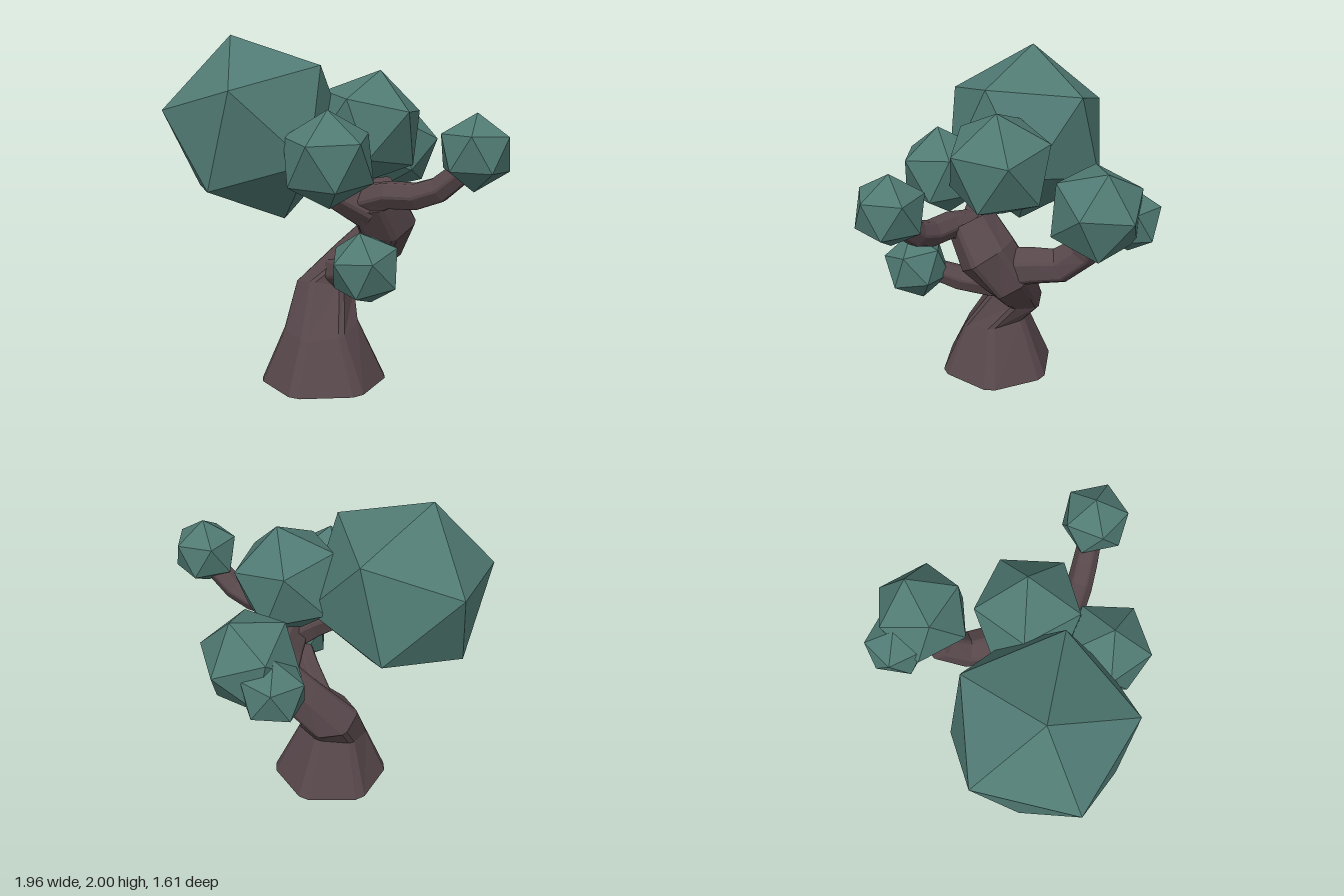
import * as THREE from 'three';

const V = (a) => new THREE.Vector3(a[0], a[1], a[2]);

export function createModel() {
  const tree = new THREE.Group();
  tree.name = 'tree';
  // The trunk is open underneath, so bark shows from both sides
  const bark = new THREE.MeshStandardMaterial({ color: 0x57474b, side: THREE.DoubleSide });
  bark.name = 'bark';
  const leaf = new THREE.MeshStandardMaterial({ color: 0x507a73 });
  leaf.name = 'foliage';

  // Six-sided limb with narrow bevelled corners, swept along [x, y, z, radius] stations.
  // An optional fifth value fixes the forward lean of an upright section.
  function limb(name, stations) {
    const pts = stations.map(V);
    const last = pts.length - 1;
    const normal = new THREE.Vector3(0, 0, 1);
    const rings = pts.map((p, i) => {
      const [, , , radius, lean] = stations[i];
      const t = new THREE.Vector3();
      if (i < last) t.add(pts[i + 1].clone().sub(p).normalize());
      if (i > 0) t.add(p.clone().sub(pts[i - 1]).normalize());
      if (lean !== undefined) t.set(0, 1, lean);
      t.normalize();
      if (i === 0 && Math.abs(t.z) > 0.8) normal.set(0, 1, 0);
      normal.addScaledVector(t, -normal.dot(t)).normalize();
      const side = t.clone().cross(normal);
      const ring = [];
      for (let k = 0; k < 6; k++) {
        for (const bevel of [-0.1, 0.1]) {
          const a = k * Math.PI / 3 + bevel;
          ring.push(p.clone()
            .addScaledVector(normal, Math.cos(a) * radius)
            .addScaledVector(side, Math.sin(a) * radius));
        }
      }
      return ring;
    });
    const tris = [];
    const n = 12;
    for (let k = 0; k < n; k++) {
      const j = (k + 1) % n;
      for (let i = 0; i < last; i++) {
        const a = rings[i], b = rings[i + 1];
        tris.push(a[k], a[j], b[j], a[k], b[j], b[k]);
      }
      tris.push(pts[last], rings[last][k], rings[last][j]);
    }
    const geo = new THREE.BufferGeometry().setFromPoints(tris);
    geo.computeVertexNormals();
    const mesh = new THREE.Mesh(geo, bark);
    mesh.name = name;
    tree.add(mesh);
  }

  // Faceted leaf clump, turned so two neighbouring corners lie at offsets a and b
  function clump(name, centre, a, b) {
    const va = V(a), vb = V(b);
    const radius = (va.length() + vb.length()) / 2;
    va.normalize();
    vb.normalize();
    const x = vb.clone().sub(va).normalize();
    const y = va.clone().add(vb).normalize();
    const z = x.clone().cross(y);
    const mesh = new THREE.Mesh(new THREE.IcosahedronGeometry(radius, 0), leaf);
    mesh.quaternion.setFromRotationMatrix(new THREE.Matrix4().makeBasis(x, y, z));
    mesh.position.copy(V(centre));
    mesh.name = name;
    tree.add(mesh);
  }

  // Trunk, flared at the foot and leaning as it rises
  limb('trunk', [
    [-0.12, 0, 0.275, 0.362, 0],
    [-0.13, 0.33, 0.285, 0.215, 0.2],
    [-0.17, 0.53, 0.15, 0.172, -0.35],
    [-0.03, 0.67, 0.07, 0.145],
    [0.12, 0.81, 0.01, 0.155],
    [0.19, 0.95, 0.09, 0.178],
    [0.17, 1.11, 0.22, 0.15],
  ]);

  // Branches
  limb('leftBranch', [
    [0.14, 1.08, 0.24, 0.1], [0.3, 1.13, 0.28, 0.08], [0.46, 1.135, 0.285, 0.078],
    [0.59, 1.18, 0.28, 0.075], [0.76, 1.32, 0.27, 0.065],
  ]);
  limb('backBranch', [
    [0.12, 0.86, 0.02, 0.13], [0.05, 0.89, -0.13, 0.115], [-0.03, 0.9, -0.27, 0.107],
    [-0.08, 1.01, -0.4, 0.095], [-0.06, 1.2, -0.5, 0.075],
  ]);
  limb('rightBranch', [
    [0.16, 1.03, 0.2, 0.13], [0.02, 1.11, 0.28, 0.105], [-0.12, 1.19, 0.32, 0.095],
    [-0.28, 1.32, 0.34, 0.08],
  ]);
  limb('lowerBranch', [
    [-0.14, 0.61, 0.11, 0.095], [-0.01, 0.64, 0.25, 0.088], [0.12, 0.685, 0.38, 0.078],
    [0.27, 0.78, 0.54, 0.06],
  ]);

  // Leaf clumps
  clump('largeClump', [-0.51, 1.47, 0.33], [-0.14, 0.53, 0.05], [0.12, 0.24, 0.48]);
  clump('topClump', [0.08, 1.475, 0.085], [0.055, 0.33, -0.035], [0.3, 0.1, 0.11]);
  clump('frontClump', [0.055, 1.34, 0.535], [0.01, 0.275, 0.02], [0, 0.09, 0.255]);
  clump('leftClump', [0.79, 1.39, 0.27], [0, 0.21, -0.01], [0.19, 0.09, 0.02]);
  clump('lowerClump', [0.29, 0.78, 0.57], [-0.01, 0.2, 0.05], [-0.185, 0.09, -0.02]);
  clump('backClump', [-0.025, 1.3, -0.515], [0.06, 0.25, -0.11], [0.07, 0.035, -0.29]);
  clump('smallBackClump', [-0.22, 1.22, -0.61], [0, 0.195, 0.01], [-0.08, 0.08, -0.16]);

  return tree;
}
